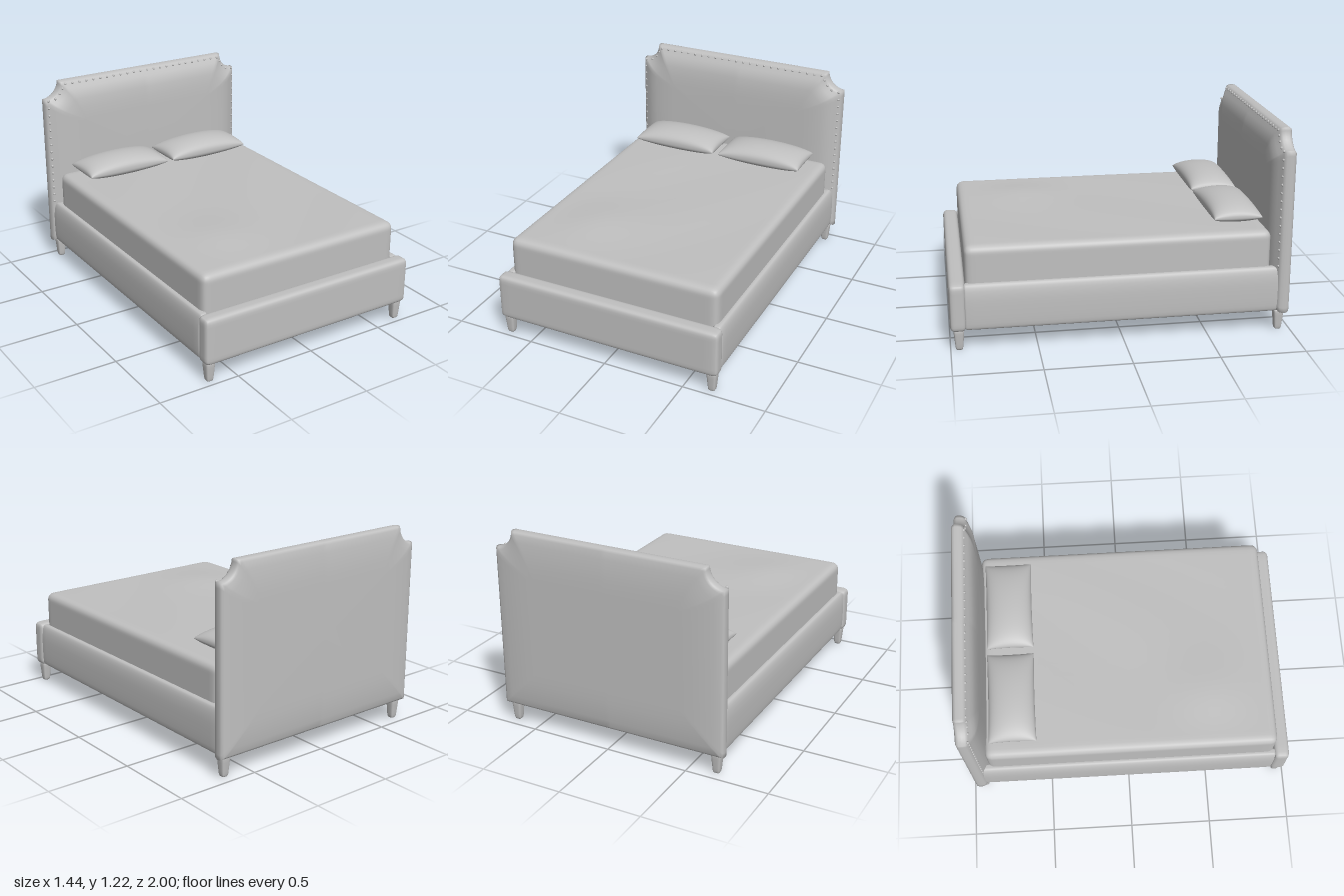
import * as THREE from 'three';
import { mergeVertices } from 'three/addons/utils/BufferGeometryUtils.js';

const fabric = new THREE.MeshStandardMaterial({ color: 0xc0c0c0 });
fabric.name = 'grey fabric';

// Spread grid lines towards the edges, t in -1..1
const crowd = (t) => Math.sign(t) * (1 - (1 - Math.abs(t)) ** 2.2);

// Weld a geometry and smooth its normals
function smooth(geo) {
  geo.deleteAttribute('uv');
  geo.deleteAttribute('normal');
  const g = mergeVertices(geo, 1e-5);
  g.computeVertexNormals();
  return g;
}

// Box with rounded edges and an optional vertex rule
function softBox(w, h, d, r, n, rule) {
  const geo = new THREE.BoxGeometry(2, 2, 2, n, n, n);
  const p = geo.attributes.position;
  const half = new THREE.Vector3(w / 2, h / 2, d / 2);
  const inner = half.clone().subScalar(r);
  const v = new THREE.Vector3(), c = new THREE.Vector3();
  for (let i = 0; i < p.count; i++) {
    v.set(crowd(p.getX(i)), crowd(p.getY(i)), crowd(p.getZ(i))).multiply(half);
    c.copy(v).clamp(inner.clone().negate(), inner);
    v.sub(c);
    if (v.lengthSq() > 0) v.setLength(r);
    v.add(c);
    if (rule) rule(v);
    p.setXYZ(i, v.x, v.y, v.z);
  }
  return smooth(geo);
}

// Parallel inset by d of the notched headboard outline, counter-clockwise from the front
function outline(d) {
  const cx = 0.718, cy = 1.215, R = 0.11 + d;
  const w = cx - d, bottom = 0.12 + d, skip = Math.asin(d / R);
  const arc = [];
  for (let i = 0; i <= 10; i++) {
    const a = -(Math.PI / 2 + skip + (Math.PI / 2 - 2 * skip) * i / 10);
    arc.push([cx + R * Math.cos(a), cy + R * Math.sin(a)]);
  }
  const right = [];
  for (const f of [0.02, 0.5, 0.98]) right.push([w * f, bottom]);
  right.push([w, bottom]);
  for (const f of [0.03, 0.5, 0.97]) right.push([w, bottom + (arc[0][1] - bottom) * f]);
  right.push(...arc);
  for (const f of [0.97, 0.5, 0.03]) right.push([arc[10][0] * f, cy - d]);
  return [...right, ...right.map(([x, y]) => [-x, y]).reverse()];
}

// Padded headboard lofted from inset outlines, front to back
function headboardGeometry() {
  const rings = [[0.25, -0.858], [0.18, -0.861], [0.12, -0.867], [0.08, -0.877], [0.05, -0.891],
    [0.03, -0.903], [0.018, -0.909], [0.009, -0.915], [0.003, -0.925], [0, -0.942], [0, -0.962],
    [0.005, -0.975], [0.018, -0.983], [0.06, -0.99], [0.12, -0.996], [0.18, -0.999], [0.25, -1]];
  const pos = [], idx = [];
  const n = outline(0).length;
  for (const [d, z] of rings) for (const [x, y] of outline(d)) pos.push(x, y, z);
  for (let i = 0; i < rings.length - 1; i++) {
    for (let j = 0; j < n; j++) {
      const a = i * n + j, b = i * n + (j + 1) % n;
      idx.push(a, a + n, b, b, a + n, b + n);
    }
  }
  // Nearly flat centres
  const front = rings.length * n, last = front - n;
  pos.push(0, 0.667, -0.855, 0, 0.667, -1);
  for (let j = 0; j < n; j++) {
    const k = (j + 1) % n;
    idx.push(front, j, k, front + 1, last + k, last + j);
  }
  const geo = new THREE.BufferGeometry();
  geo.setAttribute('position', new THREE.Float32BufferAttribute(pos, 3));
  geo.setIndex(idx);
  geo.computeVertexNormals();
  return geo;
}

// Pillow: two bulging sheets meeting at a pinched seam
function pillowGeometry() {
  const geo = new THREE.BoxGeometry(2, 2, 2, 28, 1, 20);
  const p = geo.attributes.position;
  for (let i = 0; i < p.count; i++) {
    const u = crowd(p.getX(i)), v = crowd(p.getZ(i));
    const t = Math.max(0, (1 - u * u) * (1 - v * v)) ** 0.4;
    const y = p.getY(i) > 0 ? 0.08 * t : -0.055 * t;
    // Edges bow in a little between the corners
    const x = u * (0.28 - 0.006 * (1 - v * v) * u * u);
    const z = v * (0.144 - 0.004 * (1 - u * u) * v * v);
    p.setXYZ(i, x, y, z);
  }
  return smooth(geo);
}

export function createModel() {
  const bed = new THREE.Group();
  bed.name = 'bed';
  const add = (name, geo, x, y, z) => {
    const m = new THREE.Mesh(geo, fabric);
    m.name = name;
    m.position.set(x, y, z);
    bed.add(m);
    return m;
  };

  add('headboard', headboardGeometry(), 0, 0, 0);
  add('footboard', softBox(1.412, 0.286, 0.095, 0.03, 16), 0, 0.26, 0.9525);
  add('platform', new THREE.BoxGeometry(1.3, 0.03, 1.8), 0, 0.28, 0.02);

  // Mattress with faint creases in the top cover
  const crease = (v) => {
    if (v.y < 0.08) return;
    const edge = Math.max(0, (1 - (v.x / 0.665) ** 4) * (1 - (v.z / 0.89) ** 4));
    const bump = 0.019 * Math.exp(-(((v.x + 0.33) / 0.22) ** 2) - ((v.z - 0.48) / 0.24) ** 2);
    const ripple = 0.003 * Math.sin(7 * v.x + 5 * v.z);
    v.y += (bump + ripple) * edge * (v.y - 0.08) / 0.09;
  };
  add('mattress', softBox(1.33, 0.34, 1.78, 0.045, 32, crease), 0, 0.445, 0.015);

  // Padded side rails, the outer face curving in towards the top
  const rail = softBox(0.065, 0.275, 1.84, 0.02, 14, (v) => {
    const k = (v.x + 0.0325) / 0.065, t = v.y / 0.1375;
    v.x -= k * (t > 0 ? 0.018 : 0.006) * Math.abs(t) ** 3;
  });
  const leg = softBox(0.064, 0.13, 0.064, 0.018, 10, (v) => {
    const s = 0.82 + 0.18 * v.y / 0.065;
    v.x *= s;
    v.z *= s;
  });
  for (const side of [-1, 1]) {
    const label = side > 0 ? 'left' : 'right';
    const r = add(label + 'Rail', rail, side * 0.672, 0.2625, -0.005);
    if (side < 0) r.rotation.y = Math.PI;
    add(label + 'FrontLeg', leg, side * 0.662, 0.065, 0.95);
    add(label + 'BackLeg', leg, side * 0.662, 0.065, -0.93);
  }

  // Pillows
  const pillow = pillowGeometry();
  add('rightPillow', pillow, -0.31, 0.67, -0.697);
  add('leftPillow', pillow, 0.29, 0.67, -0.697);

  // Nailhead trim sunk into the headboard edge
  const nail = new THREE.SphereGeometry(0.0085, 10, 8);
  const addNail = (x, y) => add('nailhead', nail, x, y, -0.91);
  for (let i = 0; i < 24; i++) addNail(-0.575 + i * 0.05, 1.196);
  for (const side of [-1, 1]) {
    for (let i = 0; i < 15; i++) addNail(side * 0.696, 0.41 + i * 0.0493);
    for (const [x, y] of [[0.648, 1.108], [0.615, 1.136], [0.595, 1.168]]) addNail(side * x, y);
  }
  return bed;
}
